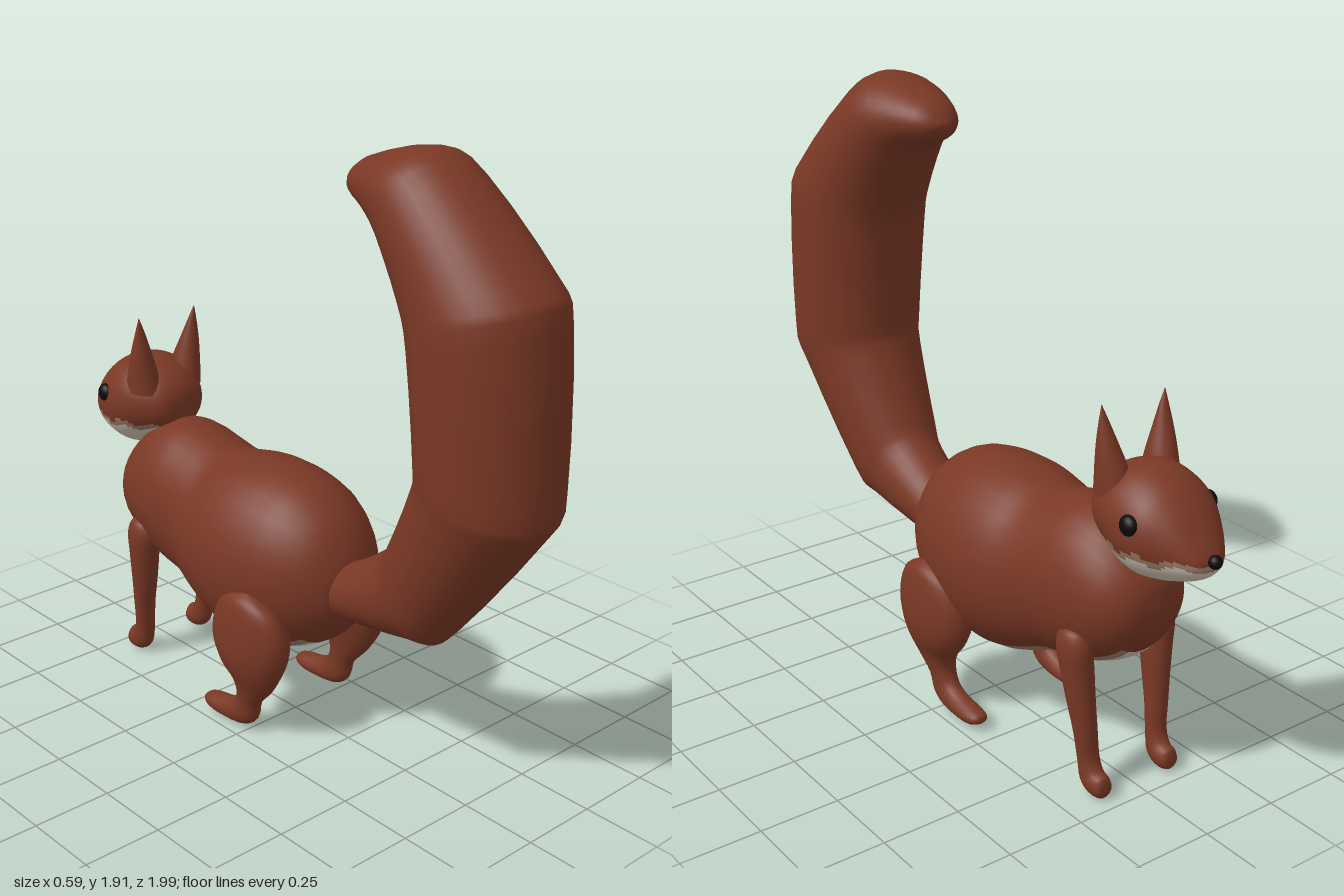
import * as THREE from 'three';

const mat = (name, color) => {
  const m = new THREE.MeshStandardMaterial({ color });
  m.name = name;
  return m;
};

// Smooth loft. Each section is [z1, y1, z2, y2, halfWidth, centreX]: an ellipse
// spanning the two points in the side plane. paint(angleFromBottom, z, y) picks a material.
function loft(name, sections, { mats, sub = 4, segs = 32, side = 1, paint = () => 0 }) {
  const a = new THREE.CatmullRomCurve3(sections.map(s => new THREE.Vector3(s[4], s[1], s[0])), false, 'catmullrom', 0.5);
  const b = new THREE.CatmullRomCurve3(sections.map(s => new THREE.Vector3((s[5] || 0) * side, s[3], s[2])), false, 'catmullrom', 0.5);
  const rows = (sections.length - 1) * sub;
  const pos = [];
  for (let i = 0; i <= rows; i++) {
    const p = a.getPoint(i / rows), q = b.getPoint(i / rows);
    for (let j = 0; j < segs; j++) {
      const t = (j / segs) * Math.PI * 2, c = Math.cos(t) / 2;
      pos.push(q.x + Math.max(p.x, 0) * Math.sin(t),
        (p.y + q.y) / 2 + (p.y - q.y) * c,
        (p.z + q.z) / 2 + (p.z - q.z) * c);
    }
  }
  const lists = mats.map(() => []);
  for (let i = 0; i < rows; i++) {
    for (let j = 0; j < segs; j++) {
      const k = (j + 1) % segs;
      const v = [i * segs + j, i * segs + k, (i + 1) * segs + j, (i + 1) * segs + k];
      const mean = o => v.reduce((s, n) => s + pos[n * 3 + o], 0) / 4;
      const angle = Math.abs(180 - ((j + 0.5) / segs) * 360);
      lists[paint(angle, mean(2), mean(1))].push(v[0], v[1], v[2], v[1], v[3], v[2]);
    }
  }
  const g = new THREE.BufferGeometry();
  g.setAttribute('position', new THREE.Float32BufferAttribute(pos, 3));
  g.setIndex(lists.flat());
  let start = 0;
  lists.forEach((l, n) => { g.addGroup(start, l.length, n); start += l.length; });
  g.computeVertexNormals();
  const mesh = new THREE.Mesh(g, mats.length > 1 ? mats : mats[0]);
  mesh.name = name;
  return mesh;
}

export function createModel() {
  const model = new THREE.Group();
  model.name = 'squirrel';
  const fur = mat('russet fur', 0x7a3825);
  const cream = mat('cream fur', 0xcdc2b2);
  const tan = mat('tan fur edge', 0x9a7a68);
  const black = mat('black', 0x0b0b0c);
  const coat = [fur, cream, tan];

  // Body: [z, top, bottom, halfWidth], rump to chest
  const body = [
    [0.272, 0.54, 0.52, 0], [0.262, 0.63, 0.43, 0.09], [0.2, 0.74, 0.345, 0.168],
    [0.1, 0.812, 0.28, 0.225], [0, 0.838, 0.243, 0.25], [-0.1, 0.845, 0.23, 0.26],
    [-0.2, 0.836, 0.243, 0.253], [-0.3, 0.818, 0.278, 0.23], [-0.4, 0.842, 0.32, 0.207],
    [-0.5, 0.86, 0.342, 0.203], [-0.6, 0.843, 0.378, 0.19], [-0.69, 0.78, 0.435, 0.16],
    [-0.75, 0.7, 0.52, 0.095], [-0.768, 0.62, 0.6, 0],
  ].map(([z, t, b, w]) => [z, t, z, b, w]);
  model.add(loft('body', body, {
    mats: coat,
    paint: (ang, z) => (z > 0.14 || z < -0.71 || ang > 34 ? 0 : ang > 23 ? 2 : 1),
  }));

  // Head with pale jaw: [z, top, bottom, halfWidth], nape to muzzle
  const head = [
    [-0.55, 0.9, 0.86, 0], [-0.565, 0.955, 0.825, 0.075], [-0.61, 1.005, 0.79, 0.12],
    [-0.68, 1.036, 0.755, 0.15], [-0.75, 1.038, 0.722, 0.158], [-0.82, 1.012, 0.73, 0.148],
    [-0.88, 0.962, 0.747, 0.115], [-0.93, 0.9, 0.768, 0.078], [-0.96, 0.855, 0.79, 0.045],
    [-0.972, 0.83, 0.815, 0],
  ].map(([z, t, b, w]) => [z, t, z, b, w]);
  model.add(loft('head', head, {
    mats: coat, sub: 5, segs: 64,
    paint: (ang, z, y) => {
      const edge = 0.832 + 0.007 * Math.sin(z * 60);
      return z > -0.59 || y > edge ? 0 : y > edge - 0.018 ? 2 : 1;
    },
  }));

  // Tail: outer and inner edges, root to tip
  const tail = [
    [0.18, 0.43, 0.18, 0.6, 0.07], [0.27, 0.435, 0.27, 0.622, 0.1],
    [0.58, 0.482, 0.41, 0.715, 0.128], [0.67, 0.53, 0.465, 0.785, 0.148],
    [0.955, 0.9, 0.56, 0.995, 0.192], [0.997, 1.03, 0.575, 1.09, 0.207],
    [0.98, 1.5, 0.545, 1.38, 0.218], [0.925, 1.62, 0.505, 1.5, 0.207],
    [0.66, 1.865, 0.42, 1.65, 0.175], [0.53, 1.915, 0.35, 1.712, 0.145],
    [0.32, 1.86, 0.28, 1.742, 0.08], [0.262, 1.805, 0.256, 1.78, 0.025],
    [0.256, 1.79, 0.256, 1.79, 0],
  ];
  model.add(loft('tail', tail, { mats: [fur], sub: 3 }));

  // Limbs and ears: front edge then back edge, with sideways centre
  const hindLeg = [
    [0.035, 0.512, 0.04, 0.512, 0, 0.232], [-0.035, 0.49, 0.1, 0.49, 0.038, 0.23],
    [-0.09, 0.45, 0.155, 0.45, 0.06, 0.222], [-0.126, 0.38, 0.185, 0.38, 0.08, 0.211],
    [-0.126, 0.31, 0.18, 0.31, 0.083, 0.209], [-0.098, 0.25, 0.15, 0.24, 0.07, 0.209],
    [-0.055, 0.2, 0.105, 0.17, 0.05, 0.204], [-0.035, 0.15, 0.05, 0.11, 0.04, 0.2],
    [-0.055, 0.102, 0.035, 0.05, 0.037, 0.198], [-0.1, 0.08, -0.02, 0.015, 0.037, 0.198],
    [-0.165, 0.066, -0.14, 0.01, 0.037, 0.198], [-0.194, 0.056, -0.193, 0.027, 0.024, 0.198],
    [-0.2, 0.042, -0.2, 0.04, 0, 0.198],
  ];
  const foreLeg = [
    [-0.59, 0.53, -0.585, 0.53, 0, 0.158], [-0.628, 0.518, -0.545, 0.515, 0.032, 0.158],
    [-0.65, 0.47, -0.527, 0.47, 0.046, 0.156], [-0.65, 0.4, -0.54, 0.4, 0.047, 0.15],
    [-0.652, 0.3, -0.562, 0.3, 0.042, 0.143], [-0.656, 0.2, -0.588, 0.2, 0.037, 0.136],
    [-0.66, 0.12, -0.603, 0.1, 0.034, 0.13], [-0.68, 0.082, -0.613, 0.035, 0.034, 0.128],
    [-0.7, 0.075, -0.655, 0.004, 0.034, 0.127], [-0.707, 0.058, -0.702, 0.008, 0.026, 0.127],
    [-0.71, 0.035, -0.71, 0.03, 0, 0.127],
  ];
  const ear = [
    [-0.59, 0.94, -0.73, 0.94, 0.055, 0.08], [-0.602, 1.02, -0.702, 1.02, 0.045, 0.09],
    [-0.613, 1.09, -0.674, 1.09, 0.031, 0.1], [-0.623, 1.15, -0.65, 1.15, 0.016, 0.107],
    [-0.631, 1.2, -0.633, 1.2, 0, 0.113],
  ];
  const eyeGeo = new THREE.SphereGeometry(0.031, 16, 12);
  for (const [side, label] of [[1, 'left'], [-1, 'right']]) {
    const opts = { mats: [fur], sub: 3, segs: 20, side };
    model.add(loft(label + 'HindLeg', hindLeg, opts));
    model.add(loft(label + 'ForeLeg', foreLeg, opts));
    model.add(loft(label + 'Ear', ear, opts));
    const eye = new THREE.Mesh(eyeGeo, black);
    eye.name = label + 'Eye';
    eye.scale.x = 0.75;
    eye.position.set(side * 0.142, 0.912, -0.79);
    model.add(eye);
  }

  // Nose
  const nose = new THREE.Mesh(new THREE.SphereGeometry(0.02, 14, 10), black);
  nose.name = 'nose';
  nose.position.set(0, 0.837, -0.976);
  model.add(nose);
  return model;
}
